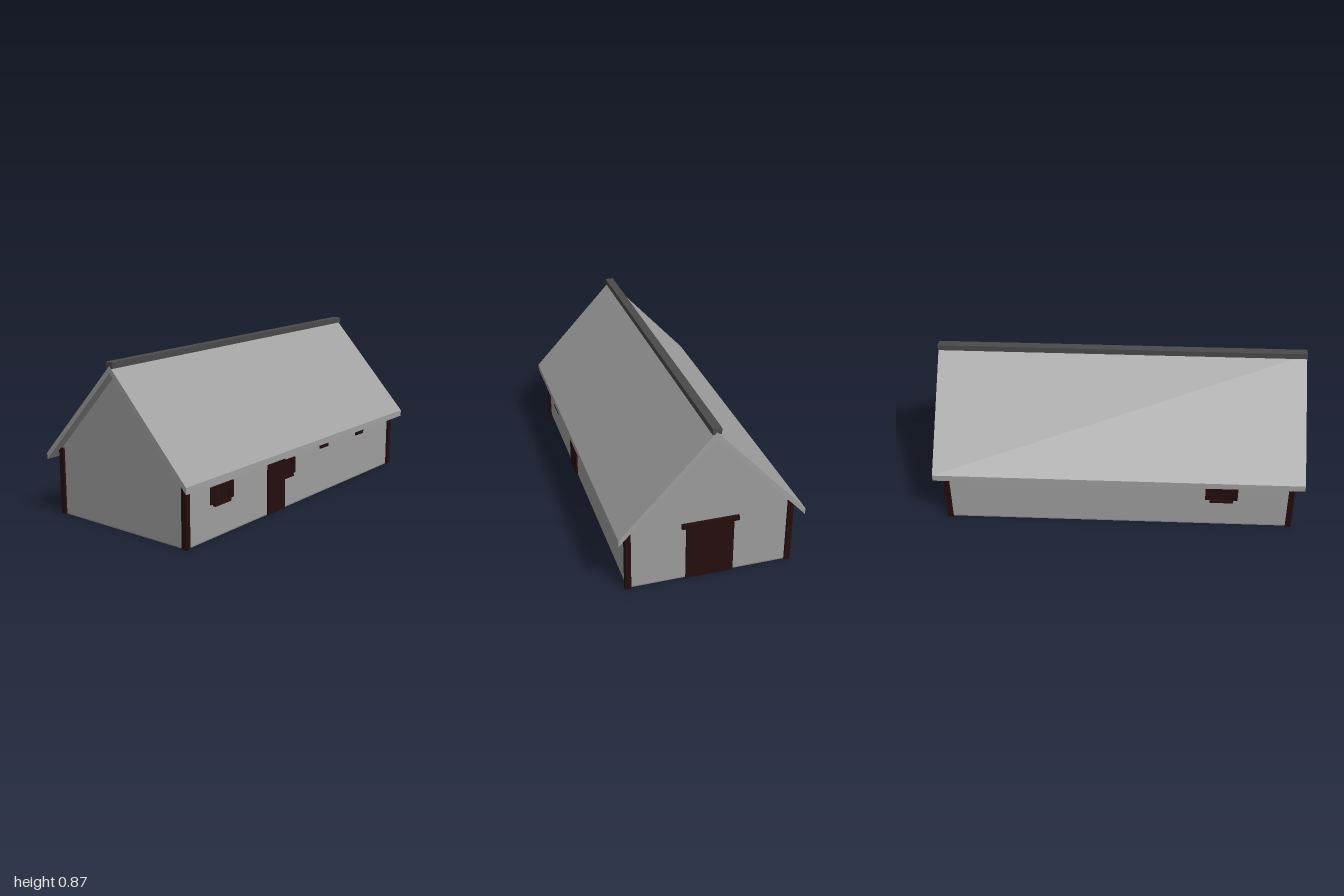
import * as THREE from 'three';

const mat = (name, color) => {
  const m = new THREE.MeshStandardMaterial({ color });
  m.name = name;
  return m;
};

export function createModel() {
  const model = new THREE.Group();
  model.name = 'barn';
  const plaster = mat('plasterGrey', 0x9e9e9e);
  const roofing = mat('roofGrey', 0xa0a0a0);
  const slate = mat('ridgeDarkGrey', 0x4a4a4a);
  const stone = mat('floorGrey', 0x8c8c8c);
  const wood = mat('darkWood', 0x240d0d);

  // Box given by its limits on each axis
  const box = (parent, name, material, [x0, x1], [y0, y1], [z0, z1]) => {
    const mesh = new THREE.Mesh(new THREE.BoxGeometry(x1 - x0, y1 - y0, z1 - z0), material);
    mesh.position.set((x0 + x1) / 2, (y0 + y1) / 2, (z0 + z1) / 2);
    mesh.name = name;
    parent.add(mesh);
    return mesh;
  };

  // End profile of [z, y] points, extruded along the length of the building
  const prism = (name, material, points, halfLength) => {
    const shape = new THREE.Shape(points.map(([z, y]) => new THREE.Vector2(-z, y)));
    const geo = new THREE.ExtrudeGeometry(shape, { depth: halfLength * 2, bevelEnabled: false });
    geo.translate(0, 0, -halfLength).rotateY(Math.PI / 2);
    const mesh = new THREE.Mesh(geo, material);
    mesh.name = name;
    model.add(mesh);
  };

  // Body: floor slab, walls, loft floor edge and gables
  const wx = 0.943, wz = 0.428;
  box(model, 'floor', stone, [-wx, wx], [0, 0.007], [-wz, wz]);
  box(model, 'walls', plaster, [-wx, wx], [0.007, 0.355], [-wz, wz]);
  box(model, 'loftFloor', plaster, [-wx, wx], [0.355, 0.362], [-0.425, 0.425]);
  prism('gables', plaster, [[0.425, 0.362], [-0.425, 0.362], [0, 0.817]], wx);

  // Roof with plumb-cut eaves, and its ridge cap
  prism('roof', roofing, [[0.483, 0.3], [0.483, 0.335], [0, 0.852],
    [-0.483, 0.335], [-0.483, 0.3], [0, 0.817]], 1);
  box(model, 'ridgeCap', slate, [-1, 1], [0.84, 0.871], [-0.023, 0.023]);

  // Corner posts
  for (const sx of [-1, 1]) for (const sz of [-1, 1]) {
    const post = box(model, 'cornerPost', wood, [-0.015, 0.015], [0, 0.362], [-0.015, 0.015]);
    post.position.x = sx * 0.94;
    post.position.z = sz * 0.425;
  }

  // Barn door and its sliding rail on the gable end
  box(model, 'barnDoor', wood, [0.935, 0.953], [0, 0.298], [-0.125, 0.125]);
  box(model, 'barnDoorRail', wood, [0.935, 0.962], [0.305, 0.328], [-0.15, 0.15]);

  // Front door with lintel
  box(model, 'frontDoor', wood, [-0.3, -0.152], [0, 0.302], [0.42, 0.438]);
  box(model, 'frontDoorLintel', wood, [-0.315, -0.137], [0.306, 0.325], [0.42, 0.442]);

  // Shuttered window, built facing +z and centred on x
  const addWindow = (x, side) => {
    const g = new THREE.Group();
    g.name = 'window';
    box(g, 'pane', wood, [-0.06, 0.06], [0.18, 0.262], [0, 0.005]);
    for (const s of [-1, 1]) {
      const shutter = box(g, 'shutter', wood, [-0.0135, 0.0135], [0.178, 0.266], [0, 0.008]);
      shutter.position.x = s * 0.0745;
      const jamb = box(g, 'jamb', wood, [-0.005, 0.005], [0.176, 0.266], [0, 0.01]);
      jamb.position.x = s * 0.056;
    }
    box(g, 'head', wood, [-0.061, 0.061], [0.256, 0.266], [0, 0.01]);
    box(g, 'mullion', wood, [-0.004, 0.004], [0.18, 0.26], [0, 0.008]);
    box(g, 'transom', wood, [-0.055, 0.055], [0.217, 0.223], [0, 0.008]);
    box(g, 'sill', wood, [-0.063, 0.063], [0.165, 0.178], [0, 0.015]);
    g.position.set(x, 0, side * wz);
    if (side < 0) g.rotation.y = Math.PI;
    model.add(g);
  };
  addWindow(-0.677, 1);
  addWindow(-0.143, 1);
  addWindow(-0.563, -1);

  // Small high windows under the front eave
  for (const x of [0.225, 0.6]) {
    box(model, 'smallWindow', wood, [x - 0.039, x + 0.039], [0.257, 0.325], [0.42, 0.436]);
  }
  return model;
}
